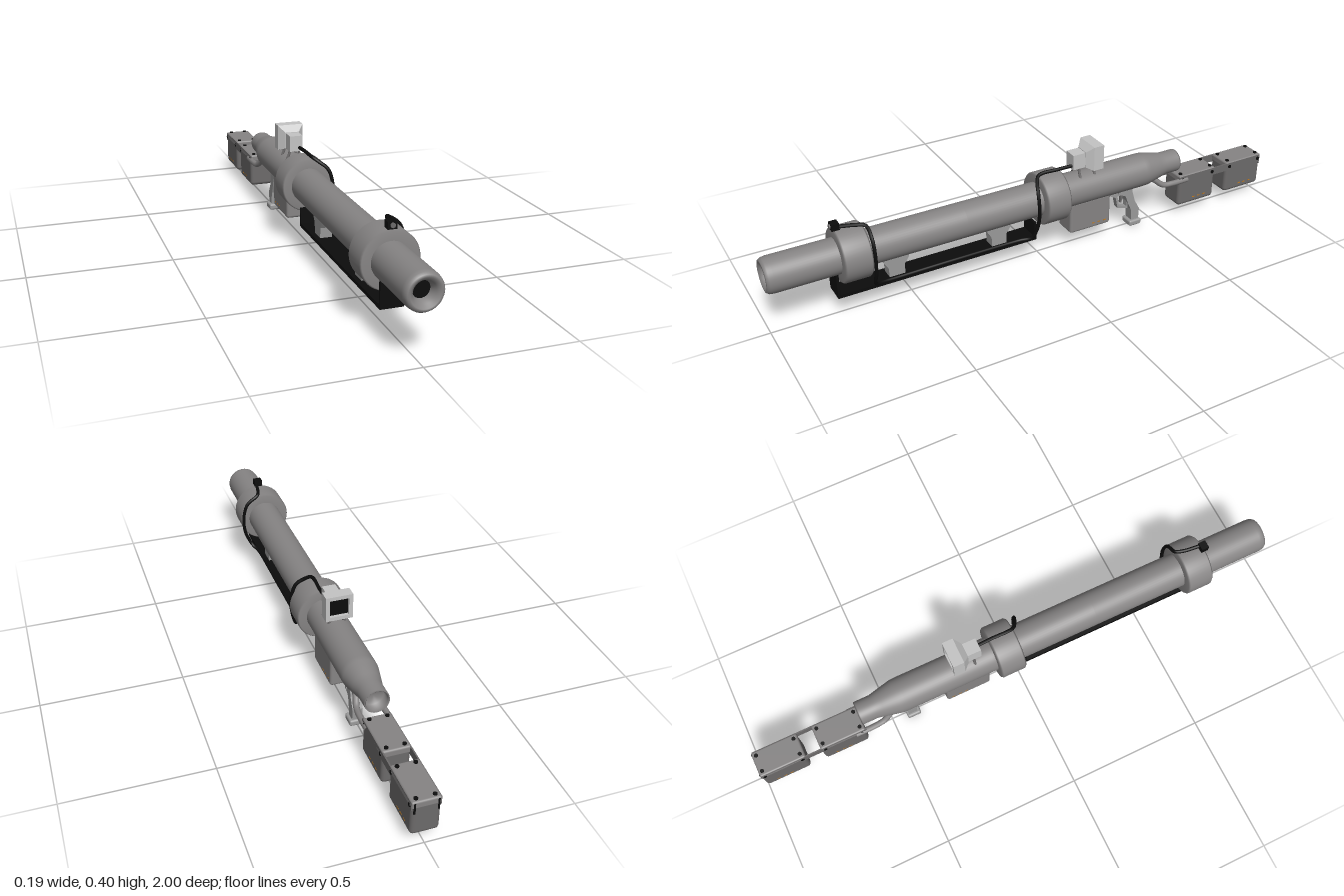
import * as THREE from 'three';
import { RoundedBoxGeometry } from 'three/addons/geometries/RoundedBoxGeometry.js';

const mat = (name, color, side = THREE.FrontSide) => {
  const m = new THREE.MeshStandardMaterial({ color, side });
  m.name = name;
  return m;
};

export function createModel() {
  const root = new THREE.Group();
  root.name = 'launcher';
  const steel = mat('steel grey', 0x868484);
  const dark = mat('dark grey', 0x6c6a6a);
  const light = mat('light grey', 0xc4c4c4);
  const grey = mat('mid grey', 0x9a9a9a);
  const black = mat('black', 0x0c0c0c);
  const orange = mat('orange', 0xc07a20);
  const AXIS = 0.223;

  const add = (name, geo, material, x = 0, y = 0, z = 0) => {
    const m = new THREE.Mesh(geo, material);
    m.name = name;
    m.position.set(x, y, z);
    root.add(m);
    return m;
  };
  // Box given by its limits in y and z, centred on x
  const box = (name, material, w, y0, y1, z0, z1, x = 0) =>
    add(name, new THREE.BoxGeometry(w, y1 - y0, z1 - z0), material, x, (y0 + y1) / 2, (z0 + z1) / 2);
  const rounded = (name, material, w, y0, y1, z0, z1, r) =>
    add(name, new RoundedBoxGeometry(w, y1 - y0, z1 - z0, 3, r), material, 0, (y0 + y1) / 2, (z0 + z1) / 2);
  // Turned part along z; points are [radius, z] from back to front
  const turned = (name, points, material, y = AXIS) => {
    const geo = new THREE.LatheGeometry(points.map(p => new THREE.Vector2(...p)), 48);
    return add(name, geo.rotateX(Math.PI / 2), material, 0, y, 0);
  };
  // Side outline of [z, y] points, extruded across x
  const side = (name, points, width, material, hole) => {
    const shape = new THREE.Shape(points.map(p => new THREE.Vector2(...p)));
    if (hole) shape.holes.push(new THREE.Path(hole.map(p => new THREE.Vector2(...p))));
    const geo = new THREE.ExtrudeGeometry(shape, { depth: width, bevelEnabled: false });
    geo.translate(0, 0, -width / 2).rotateY(-Math.PI / 2);
    return add(name, geo, material);
  };
  const tube = (name, points, r, material) => {
    const curve = new THREE.CatmullRomCurve3(points.map(p => new THREE.Vector3(...p)), false, 'centripetal');
    return add(name, new THREE.TubeGeometry(curve, points.length * 8, r, 8), material);
  };

  // Barrel, with a narrowed open tail and a funnelled muzzle
  turned('barrel', [
    [0, -0.57], [0.036, -0.57], [0.037, -0.6], [0.042, -0.605], [0.043, -0.6], [0.043, -0.545],
    [0.05, -0.515], [0.062, -0.46], [0.063, -0.44], [0.063, -0.1], [0.063, 0.3], [0.063, 0.7],
    [0.063, 0.975], [0.061, 0.99], [0.055, 0.999], [0.047, 1], [0.036, 0.99], [0.028, 0.97], [0.028, 0.95],
  ], steel);
  add('bore', new THREE.CircleGeometry(0.029, 32), black, 0, AXIS, 0.965);

  // Two large collars
  for (const [a, b] of [[-0.092, 0.003], [0.657, 0.755]])
    turned('collar', [[0.055, a], [0.092, a], [0.097, a + 0.006], [0.097, b - 0.006], [0.092, b], [0.055, b]], steel);

  // Guard rail below the barrel, with end plates and grey struts
  box('railFloor', black, 0.078, 0.08, 0.093, 0.022, 0.773);
  box('railFrontPlate', black, 0.078, 0.08, 0.172, 0.764, 0.773);
  box('railBackPlate', black, 0.078, 0.08, 0.15, 0.022, 0.031);
  for (const z of [0.555, 0.165])
    side('railStrut', [[z - 0.028, 0.09], [z + 0.028, 0.09], [z + 0.03, 0.13], [z + 0.046, 0.155],
      [z + 0.046, 0.172], [z - 0.046, 0.172], [z - 0.046, 0.155], [z - 0.03, 0.13]], 0.044, grey);

  // Power pack under the body
  rounded('underbodyPack', steel, 0.088, 0.06, 0.185, -0.29, -0.118, 0.01);

  // Pistol grip, trigger guard and trigger
  side('grip', [[-0.345, 0.175], [-0.345, 0.15], [-0.375, 0.135], [-0.388, 0.1], [-0.402, 0.07], [-0.406, 0.02],
    [-0.438, 0.02], [-0.44, 0.065], [-0.418, 0.105], [-0.405, 0.15], [-0.405, 0.175]], 0.036, grey);
  rounded('gripFoot', grey, 0.056, 0, 0.023, -0.446, -0.394, 0.007);
  side('triggerGuard', [[-0.308, 0.17], [-0.308, 0.15], [-0.335, 0.135], [-0.345, 0.09], [-0.39, 0.075],
    [-0.395, 0.17]], 0.022, grey, [[-0.343, 0.14], [-0.385, 0.14], [-0.385, 0.086], [-0.351, 0.098]]);
  side('trigger', [[-0.362, 0.145], [-0.36, 0.105], [-0.366, 0.105], [-0.374, 0.145]], 0.01, dark);

  // Rear frame: two arms running into side straps
  for (const s of [-1, 1]) {
    tube('frameArm', [[s * 0.025, 0.195, -0.475], [s * 0.032, 0.175, -0.5], [s * 0.04, 0.153, -0.53],
      [s * 0.044, 0.15, -0.57], [s * 0.044, 0.15, -0.64]], 0.011, steel);
    box('frameStrap', dark, 0.005, 0.137, 0.167, -0.995, -0.6, s * 0.0455);
    box('rearClip', black, 0.006, 0.125, 0.165, -1, -0.994, s * 0.038);
  }

  // Two tanks with bolted lids
  for (const z of [-0.688, -0.914]) {
    rounded('tank', dark, 0.094, 0.04, 0.16, z - 0.085, z + 0.085, 0.014);
    rounded('tankLid', steel, 0.096, 0.142, 0.17, z - 0.085, z + 0.085, 0.007);
    for (const s of [-1, 1]) for (const e of [-0.07, 0.07]) {
      add('lidBolt', new THREE.CylinderGeometry(0.007, 0.007, 0.006, 10), black, s * 0.03, 0.171, z + e);
      add('sideBolt', new THREE.CylinderGeometry(0.007, 0.007, 0.005, 10).rotateZ(Math.PI / 2), black, s * 0.048, 0.153, z + e);
    }
  }

  // Small orange marks low on the tank and pack sides
  for (const [z, x, y] of [[-0.7, 0.0472, 0.062], [-0.926, 0.0472, 0.062], [-0.24, 0.0442, 0.078]])
    for (const s of [-1, 1]) for (const d of [-0.026, 0, 0.024])
      box('warningMark', orange, 0.001, y, y + 0.004, z + d - 0.006, z + d + 0.006, s * x);

  // Sight: front housing, flared hood, framed screen and feet
  box('sightHousing', light, 0.048, 0.312, 0.37, -0.2, -0.137);
  const hood = new THREE.BoxGeometry(1, 1, 1);
  const p = hood.attributes.position;
  for (let i = 0; i < p.count; i++) {
    const front = p.getZ(i) > 0;
    const up = p.getY(i) > 0;
    p.setXYZ(i, Math.sign(p.getX(i)) * (front ? 0.026 : 0.048),
      up ? (front ? 0.372 : 0.395) : (front ? 0.312 : 0.302), front ? -0.187 : -0.21);
  }
  hood.computeVertexNormals();
  add('sightHood', hood, light);
  const rect = (w, y0, y1, Kind) => new Kind([[-w, y0], [w, y0], [w, y1], [-w, y1]].map(q => new THREE.Vector2(...q)));
  const frame = rect(0.048, 0.302, 0.395, THREE.Shape);
  frame.holes.push(rect(0.034, 0.316, 0.381, THREE.Path));
  add('screenFrame', new THREE.ExtrudeGeometry(frame, { depth: 0.04, bevelEnabled: false }), light, 0, 0, -0.25);
  box('screen', black, 0.069, 0.315, 0.382, -0.238, -0.212);
  for (const z of [-0.165, -0.225]) for (const s of [-1, 1])
    tube('sightFoot', [[s * 0.014, 0.318, z], [s * 0.02, 0.295, z], [s * 0.03, 0.272, z]], 0.005, dark);

  // Camera on the front collar
  box('cameraBody', black, 0.03, 0.324, 0.348, 0.735, 0.762);
  add('cameraLens', new THREE.CylinderGeometry(0.008, 0.008, 0.008, 16).rotateX(Math.PI / 2), dark, 0, 0.337, 0.763);

  // Cable from sight, down to the rail, along it and up to the camera
  tube('cable', [
    [0.012, 0.325, -0.14], [0.014, 0.327, -0.08], [0.016, 0.326, 0], [0.035, 0.312, 0.018], [0.065, 0.285, 0.03],
    [0.082, 0.22, 0.034], [0.075, 0.155, 0.038], [0.058, 0.105, 0.055], [0.042, 0.097, 0.09], [0.04, 0.097, 0.35],
    [0.042, 0.097, 0.61], [0.058, 0.11, 0.645], [0.084, 0.17, 0.65], [0.088, 0.24, 0.65], [0.07, 0.295, 0.65],
    [0.03, 0.324, 0.653], [0.018, 0.328, 0.68], [0.008, 0.334, 0.74],
  ], 0.0065, black);

  return root;
}
